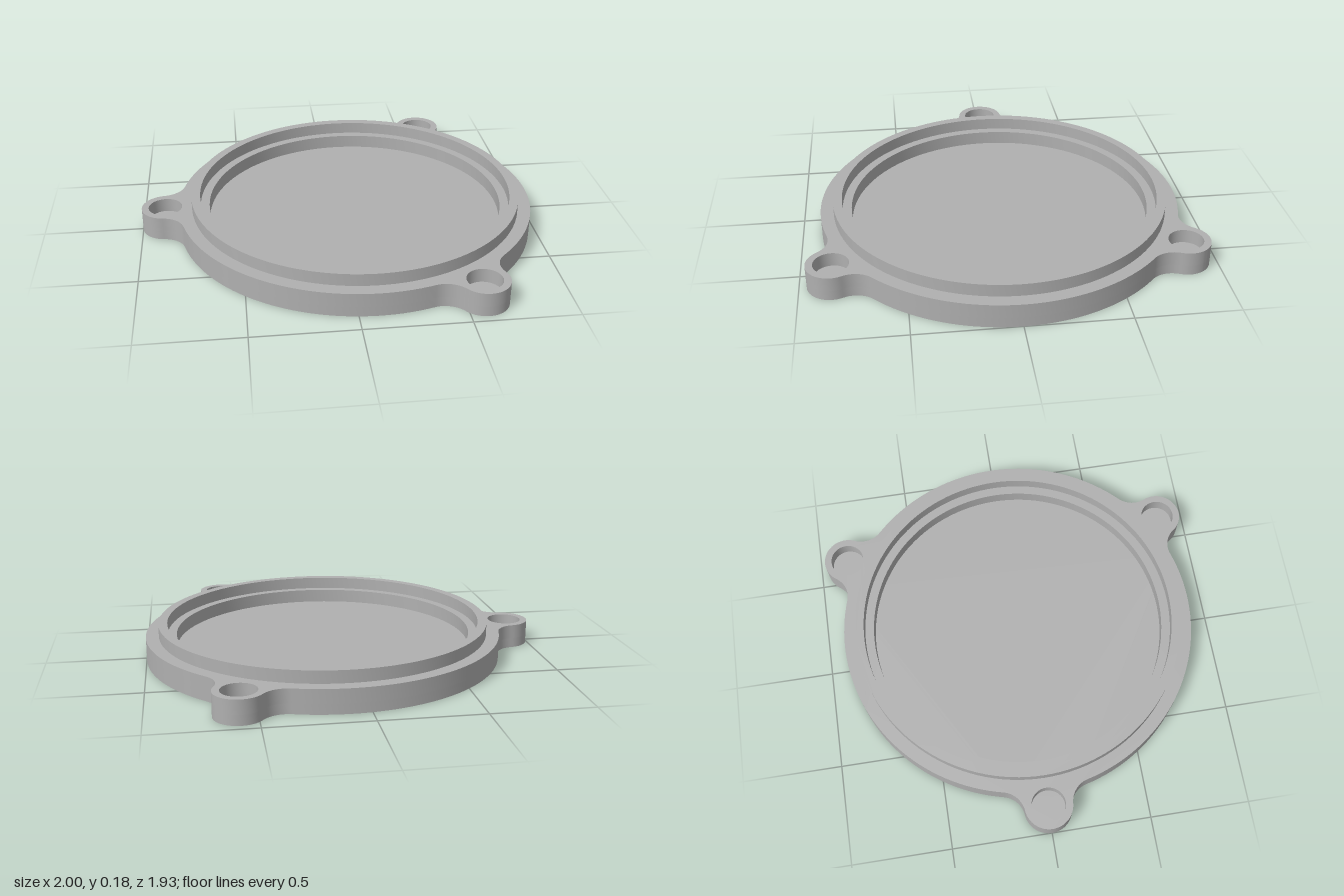
import * as THREE from 'three';
import { toCreasedNormals } from 'three/addons/utils/BufferGeometryUtils.js';

const DISC_R = 0.905, BOSS_R = 0.12, FILLET_R = 0.12, BOSS_DIST = 0.975, HOLE_R = 0.085;
const FLOOR_Y = 0.05, PLATE_Y = 0.12, RIM_Y = 0.182;
const BOSS_ANGLES = [Math.PI / 3, Math.PI, (5 * Math.PI) / 3];

// Points along an arc, leaving out the last so that arcs can be chained
function arc(cx, cy, r, from, to, n) {
  return Array.from({ length: n }, (_, i) => {
    const a = from + ((to - from) * i) / n;
    return new THREE.Vector2(cx + r * Math.cos(a), cy + r * Math.sin(a));
  });
}

const circle = (r, cx = 0, cy = 0, n = 48) => arc(cx, cy, r, 0, Math.PI * 2, n);

// Disc outline with three filleted round lugs
function outline() {
  const a = DISC_R + FILLET_R, b = BOSS_R + FILLET_R, d = BOSS_DIST;
  const atDisc = Math.acos((d * d + a * a - b * b) / (2 * d * a));
  const atBoss = Math.acos((d * d + b * b - a * a) / (2 * d * b));
  const atFillet = Math.PI - atDisc - atBoss;
  const pts = [];
  for (const t of BOSS_ANGLES) {
    const t0 = t - atDisc, t1 = t + atDisc;
    // fillet into the lug, the lug itself, fillet back, then the disc edge
    pts.push(
      ...arc(a * Math.cos(t0), a * Math.sin(t0), FILLET_R, t0 + Math.PI, t0 + Math.PI - atFillet, 12),
      ...arc(d * Math.cos(t), d * Math.sin(t), BOSS_R, t - Math.PI + atBoss, t + Math.PI - atBoss, 32),
      ...arc(a * Math.cos(t1), a * Math.sin(t1), FILLET_R, t1 + Math.PI + atFillet, t1 + Math.PI, 12),
      ...arc(0, 0, DISC_R, t1, t0 + (2 * Math.PI) / 3, 40)
    );
  }
  return pts;
}

// Upright slab between two heights, with optional holes
function slab(name, points, holes, y0, y1, material) {
  const shape = new THREE.Shape(points);
  shape.holes = holes.map((h) => new THREE.Path(h));
  const extruded = new THREE.ExtrudeGeometry(shape, { depth: y1 - y0, bevelEnabled: false });
  extruded.rotateX(-Math.PI / 2);
  const mesh = new THREE.Mesh(toCreasedNormals(extruded, 0.6), material);
  mesh.name = name;
  mesh.position.y = y0;
  return mesh;
}

export function createModel() {
  const grey = new THREE.MeshStandardMaterial({ color: 0xb0b0b0 });
  grey.name = 'grey';

  const edge = outline();
  const lugHoles = BOSS_ANGLES.map((t) => circle(HOLE_R, BOSS_DIST * Math.cos(t), BOSS_DIST * Math.sin(t)));

  const cover = new THREE.Group();
  cover.name = 'roundCover';
  cover.position.x = 0.095;
  cover.add(
    slab('floorPlate', edge, [], 0, FLOOR_Y, grey),
    slab('flangeWithLugs', edge, [circle(0.75, 0, 0, 128), ...lugHoles], FLOOR_Y, PLATE_Y, grey),
    slab('raisedRim', circle(0.84, 0, 0, 128), [circle(0.795, 0, 0, 128)], PLATE_Y, RIM_Y, grey)
  );

  const model = new THREE.Group();
  model.name = 'flangedCover';
  model.add(cover);
  return model;
}
